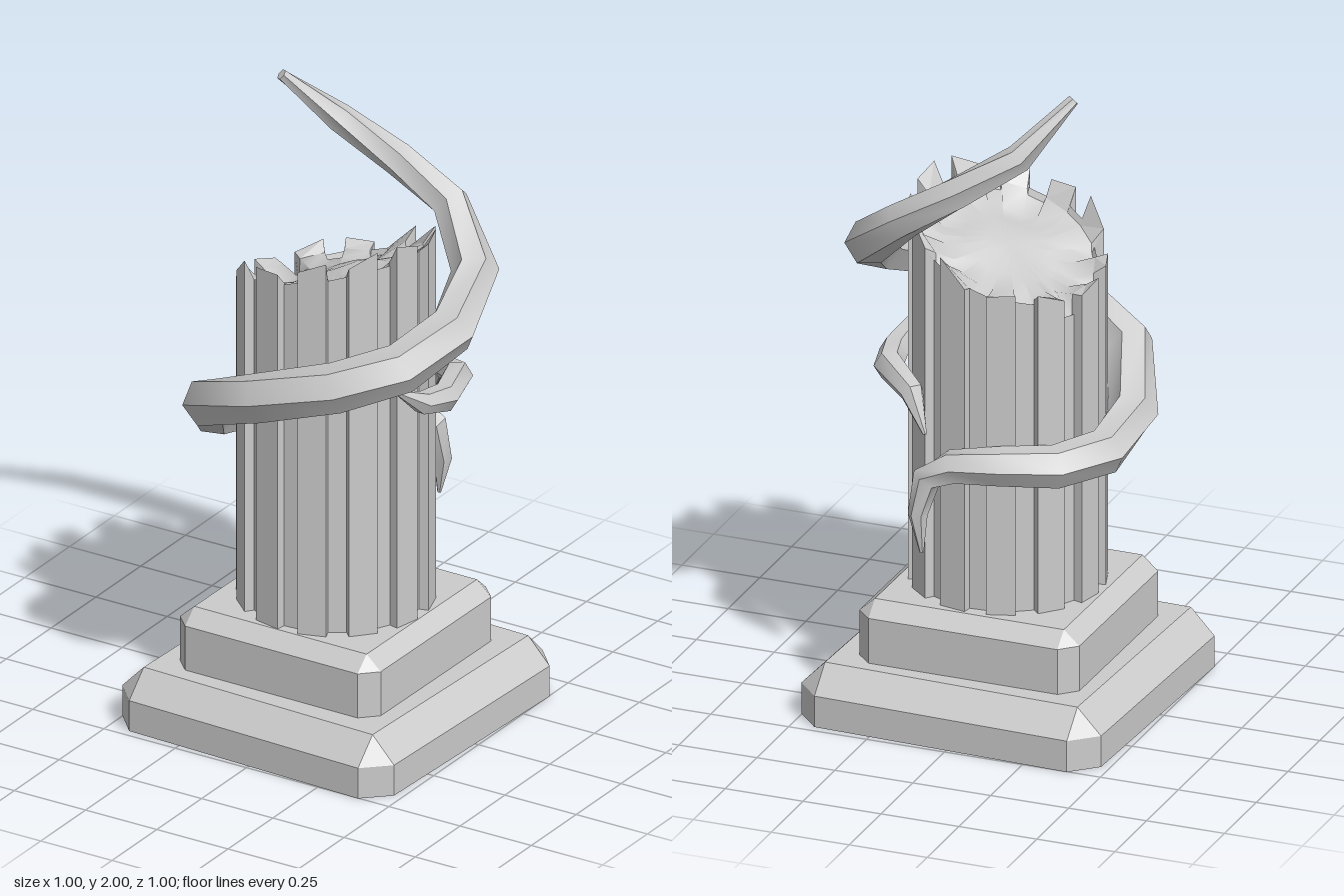
import * as THREE from 'three';
import { toCreasedNormals } from 'three/addons/utils/BufferGeometryUtils.js';

const V = (x, y, z) => new THREE.Vector3(x, y, z);
const smooth = new THREE.MeshStandardMaterial({ color: 0xcccccc });
const flat = new THREE.MeshStandardMaterial({ color: 0xcccccc, flatShading: true });

// Skin a list of equal-length rings, each counter-clockwise about the travel direction
function loft(rings, capStart = true, capEnd = true) {
  const n = rings[0].length, pts = rings.flat(), index = [];
  for (let i = 0; i < rings.length - 1; i++) {
    for (let j = 0; j < n; j++) {
      const k = (j + 1) % n;
      const a = i * n + j, b = i * n + k, c = b + n, d = a + n;
      index.push(a, b, c, a, c, d);
    }
  }
  const cap = (ring, start, flip) => {
    const centre = ring.reduce((s, p) => s.add(p), V(0, 0, 0)).divideScalar(n);
    const m = pts.push(centre) - 1;
    for (let j = 0; j < n; j++) {
      const k = (j + 1) % n;
      if (flip) index.push(m, start + k, start + j);
      else index.push(m, start + j, start + k);
    }
  };
  if (capStart) cap(rings[0], 0, true);
  if (capEnd) cap(rings[rings.length - 1], (rings.length - 1) * n, false);
  const g = new THREE.BufferGeometry().setFromPoints(pts);
  g.setIndex(index);
  g.computeVertexNormals();
  return g;
}

function add(group, name, geometry, material) {
  const mesh = new THREE.Mesh(geometry, material);
  mesh.name = name;
  group.add(mesh);
  return mesh;
}

// Square slab with cut corners and a bevelled upper edge
function slab(half, cut, y0, y1, y2) {
  const ring = (h, c, y) => {
    const out = [];
    for (let q = 0; q < 4; q++) {
      for (const [x, z] of [[h, -(h - c)], [h - c, -h]]) {
        out.push(V(x, y, z).applyAxisAngle(V(0, 1, 0), q * Math.PI / 2));
      }
    }
    return out;
  };
  return loft([ring(half, cut, y0), ring(half, cut, y1), ring(half - cut, 0, y2)]);
}

// Tapered six-sided vine; rows are [x, y, z, radius], a ridge faces away from the column
function vine(rows) {
  const p = rows.map(r => V(r[0], r[1], r[2]));
  const rings = p.map((c, i) => {
    const ahead = p[Math.min(i + 1, p.length - 1)], behind = p[Math.max(i - 1, 0)];
    const t = ahead.clone().sub(c).normalize().add(c.clone().sub(behind).normalize()).normalize();
    const out = V(c.x, 0, c.z);
    out.addScaledVector(t, -out.dot(t)).normalize();
    const side = t.clone().cross(out);
    return Array.from({ length: 6 }, (_, j) => {
      const a = j * Math.PI / 3, r = rows[i][3];
      return c.clone().addScaledVector(out, Math.cos(a) * r).addScaledVector(side, Math.sin(a) * r);
    });
  });
  return toCreasedNormals(loft(rings), 0.8);
}

// Height of the slanted break across the column
function breakHeight(x, z) {
  const u = (x - z) / Math.SQRT2, v = (x + z) / Math.SQRT2;
  return 1.48 + 0.15 * u + 0.36 * v;
}

function buildColumn(group) {
  // Height offsets of the two rib corners and of the channel that follows
  const chips = [
    [0.05, 0.02, -0.02], [0.02, 0.03, -0.03], [0, 0.03, -0.03], [0.03, 0.01, -0.02],
    [0, 0.03, -0.03], [0.03, 0, -0.04], [0.02, -0.03, -0.04], [-0.02, 0.01, -0.03],
    [0.02, 0, -0.08], [0, 0.02, -0.04], [0.02, 0, -0.03], [0.03, 0.07, 0],
  ];
  const deg = Math.PI / 180;
  const bottom = [], rim = [], inner = [];
  chips.forEach(([left, right, channel], k) => {
    // Each flute is a raised rib followed by a shallow channel
    const corners = [[-8.5, 0.298, left], [8.5, 0.298, right], [9, 0.268, channel], [21, 0.268, channel]];
    for (const [offset, r, chip] of corners) {
      const a = (-102 + k * 30 + offset) * deg;
      const x = Math.cos(a), z = -Math.sin(a);
      bottom.push(V(x * r, 0.36, z * r));
      rim.push(V(x * r, breakHeight(x * r, z * r) + chip, z * r));
      inner.push(V(x * 0.26, breakHeight(x * 0.26, z * 0.26) + Math.min(chip, 0) - 0.02, z * 0.26));
    }
  });
  add(group, 'flutedShaft', loft([bottom, rim, inner], true, false), flat);

  // Worn, gently uneven broken face
  const rings = [1, 0.75, 0.5, 0.25].map(f => inner.map((p, i) => {
    if (f === 1) return p.clone();
    const x = p.x * f, z = p.z * f;
    const wave = 0.025 * Math.sin(x * 16 + 1) * Math.cos(z * 14);
    return V(x, breakHeight(x, z) - 0.045 + wave, z);
  }));
  add(group, 'brokenTop', loft(rings, false, true), smooth);
}

export function createModel() {
  const model = new THREE.Group();
  model.name = 'ruinedColumn';

  // Stepped plinth
  add(model, 'lowerPlinth', slab(0.488, 0.077, 0, 0.1, 0.18), flat).rotation.y = -0.036;
  const upper = add(model, 'upperPlinth', slab(0.354, 0.05, 0.17, 0.325, 0.37), flat);
  upper.rotation.y = -0.008;
  upper.position.set(-0.004, 0, -0.004);

  const column = new THREE.Group();
  column.name = 'column';
  buildColumn(column);
  model.add(column);

  // Long vine winding up from the hanging tail to the raised tip
  add(model, 'mainVine', vine([
    [0.12, 0.58, -0.385, 0.006],
    [0.135, 0.7, -0.38, 0.03],
    [0.115, 0.81, -0.362, 0.045],
    [0.04, 0.855, -0.345, 0.053],
    [-0.1, 0.868, -0.318, 0.06],
    [-0.25, 0.86, -0.24, 0.066],
    [-0.352, 0.87, -0.1, 0.07],
    [-0.362, 0.92, 0.1, 0.075],
    [-0.27, 1.05, 0.29, 0.077],
    [-0.03, 1.16, 0.372, 0.077],
    [0.2, 1.23, 0.32, 0.077],
    [0.36, 1.29, 0.21, 0.077],
    [0.425, 1.36, 0.03, 0.077],
    [0.375, 1.46, -0.18, 0.072],
    [0.22, 1.6, -0.288, 0.06],
    [0.05, 1.71, -0.265, 0.053],
    [-0.12, 1.825, -0.21, 0.044],
    [-0.245, 1.985, -0.085, 0.018],
  ]), smooth);

  // Short vine clinging to the left and back
  add(model, 'smallVine', vine([
    [0.3, 1.165, 0.135, 0.008],
    [0.328, 1.1, 0.04, 0.036],
    [0.336, 1.075, -0.07, 0.045],
    [0.3, 1.085, -0.2, 0.047],
    [0.19, 1.05, -0.29, 0.038],
    [0.13, 0.94, -0.335, 0.006],
  ]), smooth);

  return model;
}
